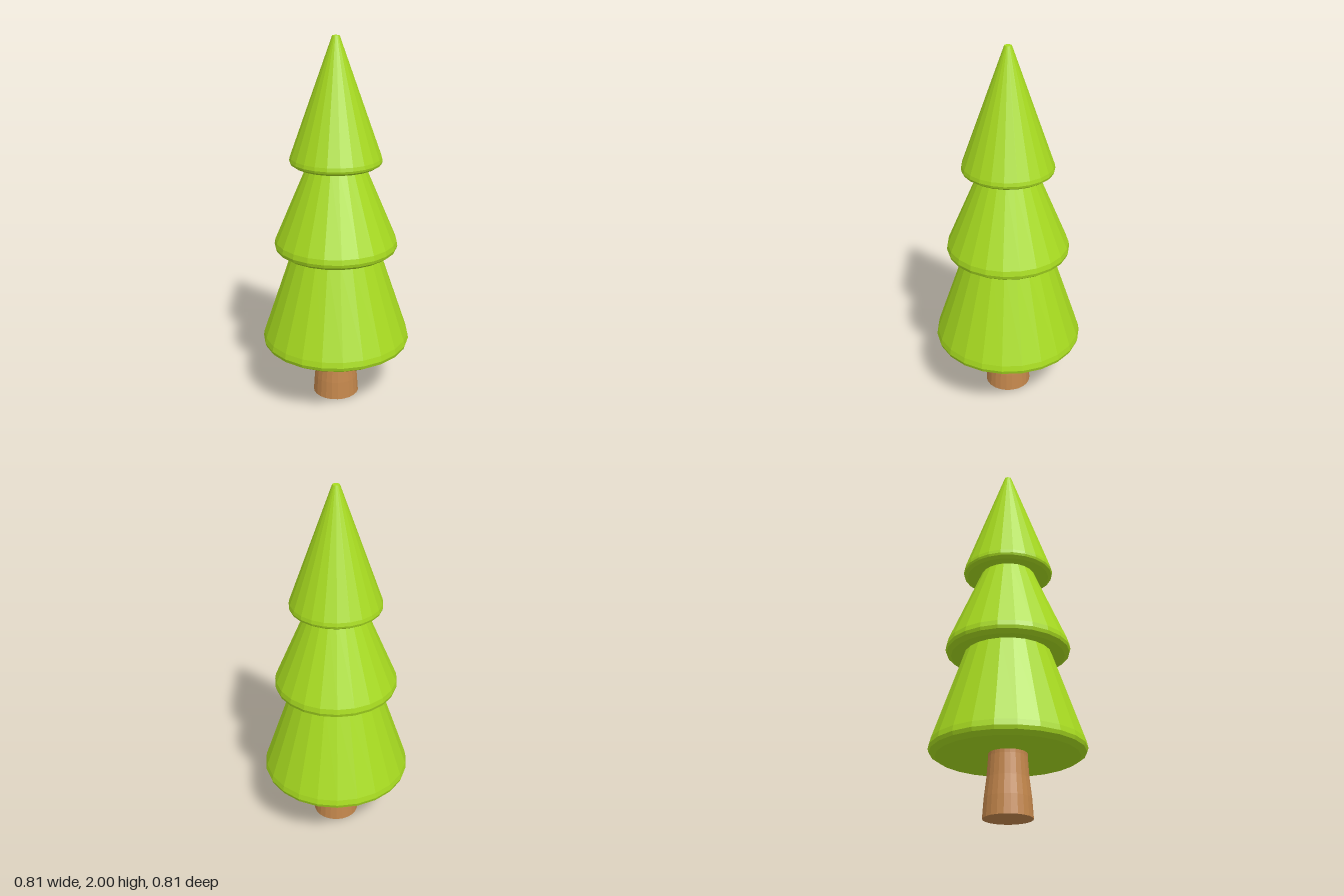
import * as THREE from 'three';

const SIDES = 23;

// Faceted solid of revolution from [radius, height] pairs, bottom to top
function turned(name, profile, material) {
  const points = profile.map(([r, y]) => new THREE.Vector2(r, y));
  const mesh = new THREE.Mesh(new THREE.LatheGeometry(points, SIDES), material);
  mesh.name = name;
  return mesh;
}

export function createModel() {
  const group = new THREE.Group();
  group.name = 'pineTree';
  const leaves = new THREE.MeshStandardMaterial({ color: 0xa8dc20, flatShading: true });
  const bark = new THREE.MeshStandardMaterial({ color: 0xc4874c, flatShading: true });

  // Trunk, flared at the foot
  group.add(turned('trunk', [
    [0, 0], [0.127, 0], [0.12, 0.1], [0.108, 0.2], [0.1, 0.31], [0.1, 0.36], [0, 0.36],
  ], bark));

  // Foliage tiers: slightly hollow underside, bevelled rim, sloping cone
  const tiers = [
    { name: 'lowerFoliage', y: 0.31, r: 0.405, rim: 0.055, top: 0.232, topY: 0.87 },
    { name: 'middleFoliage', y: 0.86, r: 0.332, rim: 0.05, top: 0.145, topY: 1.35 },
    { name: 'upperFoliage', y: 1.335, r: 0.245, rim: 0.035, top: 0.019, topY: 2 },
  ];
  for (const { name, y, r, rim, top, topY } of tiers) {
    group.add(turned(name, [
      [0, y + 0.02], [r * 0.55, y + 0.015], [r * 0.91, y],
      [r * 0.985, y + rim * 0.35], [r, y + rim * 0.7], [r * 0.985, y + rim * 1.25],
      [top, topY], [0, topY],
    ], leaves));
  }
  return group;
}
